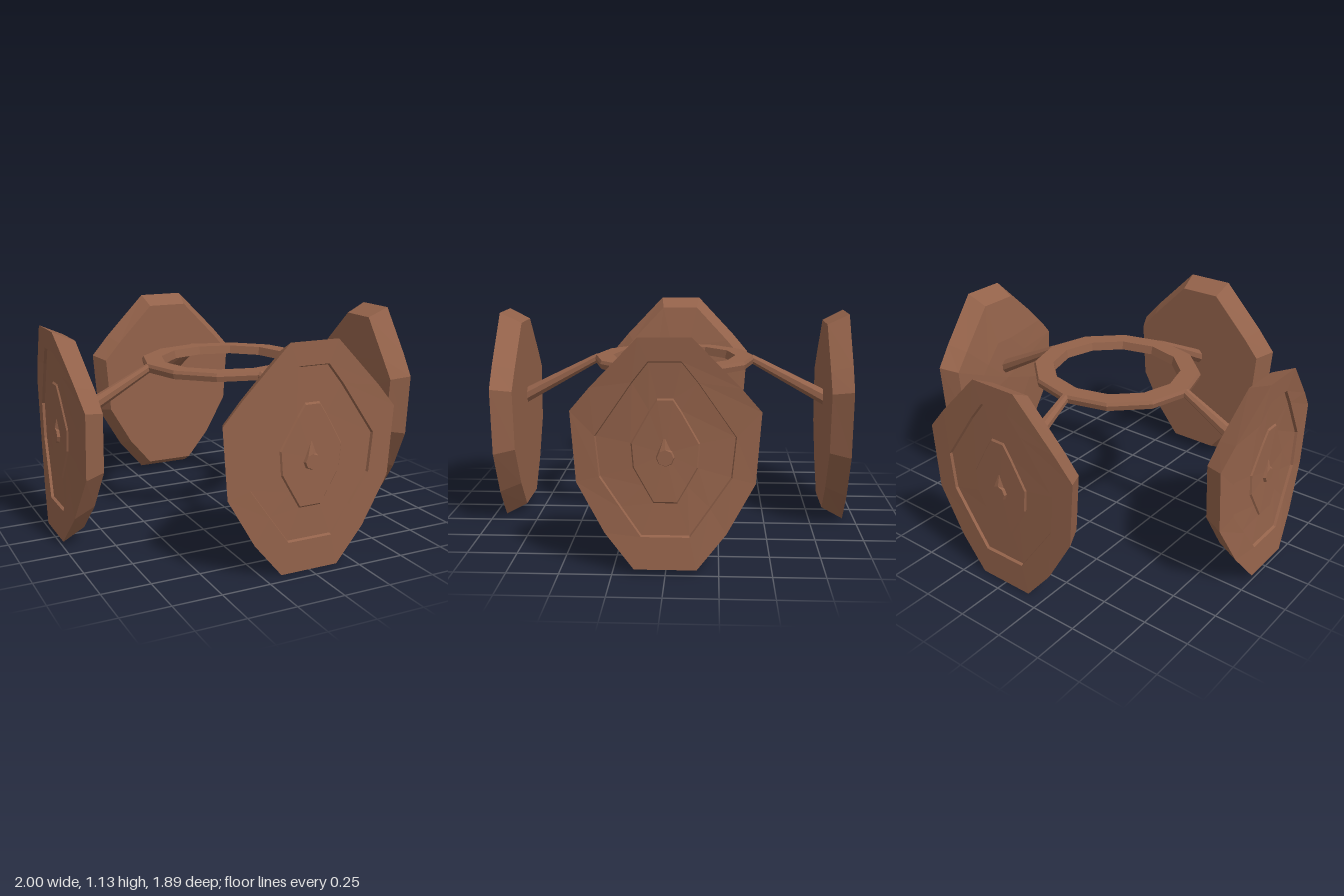
import * as THREE from 'three';

const copper = new THREE.MeshStandardMaterial({ color: 0x93624a, flatShading: true });
copper.name = 'copper brown';

// Skin a row of matching counter-clockwise loops, ordered from back to front
function loft(loops) {
  const pos = [];
  for (let i = 0; i + 1 < loops.length; i++) {
    const A = loops[i], B = loops[i + 1], n = A.length;
    for (let k = 0; k < n; k++) {
      const m = (k + 1) % n;
      for (const p of [A[k], A[m], B[m], A[k], B[m], B[k]]) pos.push(...p);
    }
  }
  const g = new THREE.BufferGeometry();
  g.setAttribute('position', new THREE.Float32BufferAttribute(pos, 3));
  g.computeVertexNormals();
  return g;
}

// Complete a right half (listed bottom to top) with its mirror image
const mirror = half => [...half, ...half.map(([x, y]) => [-x, y]).reverse()];

const rim = mirror([[0.155, -0.57], [0.30, -0.395], [0.44, -0.15], [0.465, 0.2], [0.365, 0.315], [0.128, 0.558]]);
const panel = mirror([[0.12, -0.41], [0.22, -0.27], [0.325, -0.12], [0.345, 0.08], [0.16, 0.345], [0.08, 0.445]]);

// Shield plate facing +z, optionally bowed outward at top and bottom
function shieldGeometry(o) {
  const front = (u, v) => o.front + o.bow * (v / 0.55) ** 2 - o.round * (u / 0.44) ** 2;
  const back = (u, v) => o.back + o.backBow * (v / 0.5) ** 2;
  const loop = (pts, su, sv, depth, d = 0) => pts.map(([x, y]) => {
    const u = x * su * o.sx, v = y * sv * o.sy;
    return [u, v + o.cy, depth(u, v) + d];
  });
  return loft([
    loop(rim, 0, 0, back),
    loop(rim, 0.45, 0.45, back),
    loop(rim, 0.89, 0.9, back),
    loop(rim, 1, 1, front),
    loop(panel, 1, 1, front),
    loop(panel, 0.985, 0.985, front, -0.014),
    loop(panel, 0.49, 0.6, front, -0.014),
    loop(panel, 0.47, 0.58, front, -0.006),
    loop(panel, 0, 0, front, -0.006),
  ]);
}

// Pointed boss in the middle of a shield
function bossGeometry(y, z) {
  const circle = (r, d, tip = 0) => Array.from({ length: 8 }, (_, k) => {
    const a = k * Math.PI / 4;
    return [r * Math.cos(a), y + r * Math.sin(a) + (k === 2 ? tip : 0), z + d];
  });
  return loft([circle(0.045, -0.03, 0.07), circle(0.045, -0.006, 0.07), circle(0.038, 0.012), circle(0, 0.012)]);
}

// Tapered octagonal arm from the ring to the shield back
function armGeometry(start, end) {
  const [z0, y0] = start, [z1, y1] = end;
  const len = Math.hypot(z1 - z0, y1 - y0);
  const g = new THREE.CylinderGeometry(0.042, 0.024, len, 8);
  g.rotateY(Math.PI / 8);
  g.rotateX(Math.PI / 2 - Math.atan2(y1 - y0, z1 - z0));
  g.translate(0, (y0 + y1) / 2, (z0 + z1) / 2);
  return g;
}

export function createModel() {
  const model = new THREE.Group();
  const add = (parent, name, geometry) => {
    const mesh = new THREE.Mesh(geometry, copper);
    mesh.name = name;
    parent.add(mesh);
    return mesh;
  };

  // Twelve-sided central ring
  const profile = [[0.437, 0.842], [0.444, 0.87], [0.436, 0.887], [0.338, 0.887], [0.328, 0.842], [0.437, 0.842]]
    .map(p => new THREE.Vector2(...p));
  add(model, 'centralRing', new THREE.LatheGeometry(profile, 12)).scale.x = 1.05;

  // Flat pair at front and back, bowed pair at the sides
  const flat = { front: 0.938, bow: 0, round: 0.008, back: 0.824, backBow: 0, sx: 1, sy: 1, cy: 0.57 };
  const bowed = { front: 0.966, bow: 0.035, round: 0.028, back: 0.835, backBow: 0.045, sx: 0.945, sy: 0.965, cy: 0.577 };
  ['front', 'left', 'back', 'right'].forEach((side, k) => {
    const o = k % 2 ? bowed : flat;
    const unit = new THREE.Group();
    unit.name = side + 'Unit';
    unit.rotation.y = k * Math.PI / 2;
    add(unit, side + 'Shield', shieldGeometry(o));
    add(unit, side + 'Boss', bossGeometry(o.cy - 0.018, o.front - 0.004));
    add(unit, side + 'Arm', armGeometry(k % 2 ? [0.45, 0.866] : [0.425, 0.87], [o.back + 0.03, 0.643]));
    model.add(unit);
  });
  return model;
}
